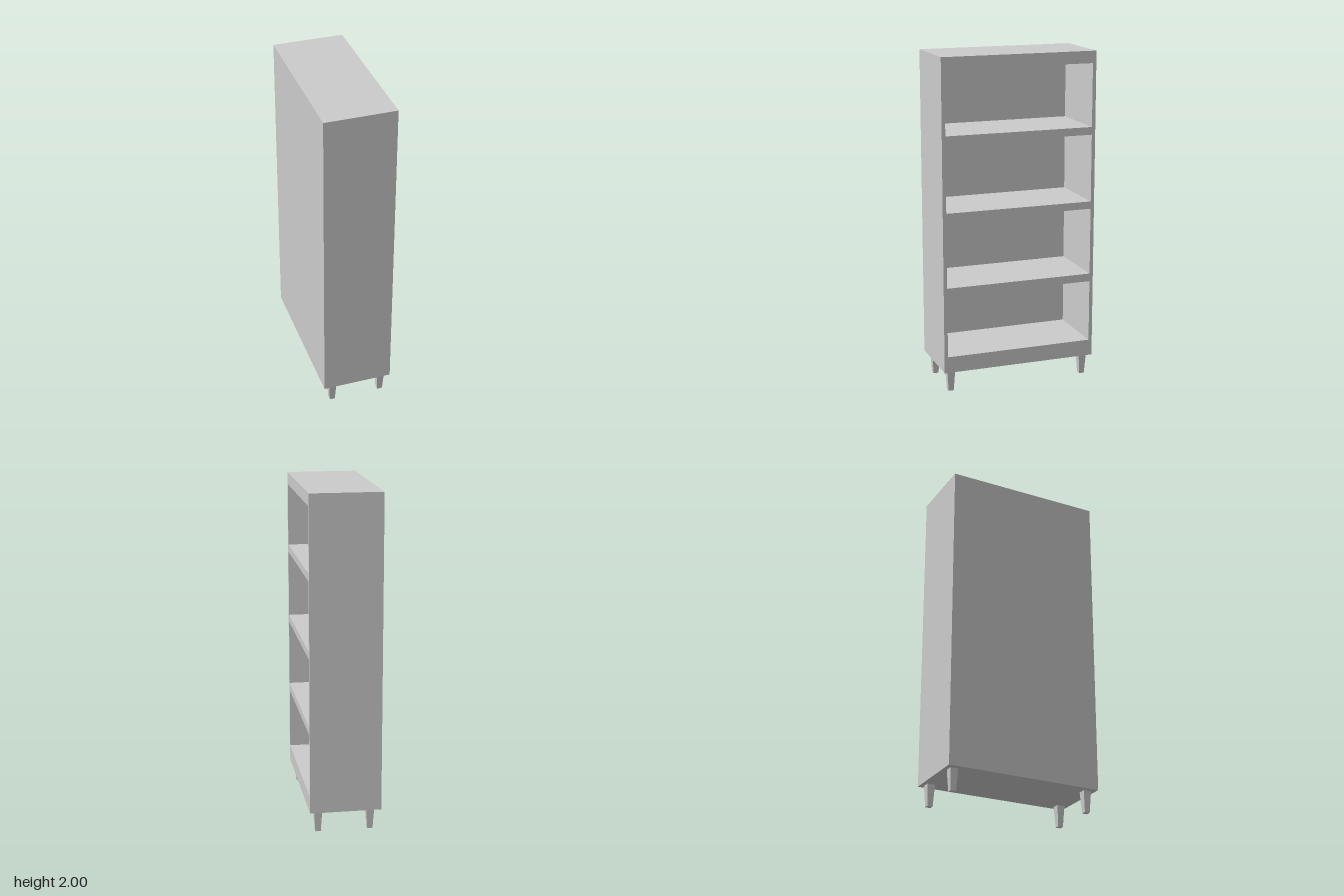
import * as THREE from 'three';

const material = new THREE.MeshStandardMaterial({ color: 0xcccccc, flatShading: true });

// Rectangle traced on a Shape or Path
function rect(path, halfWidth, y0, y1) {
  path.moveTo(-halfWidth, y0);
  path.lineTo(halfWidth, y0);
  path.lineTo(halfWidth, y1);
  path.lineTo(-halfWidth, y1);
  path.closePath();
  return path;
}

export function createModel() {
  const group = new THREE.Group();
  group.name = 'bookcase';
  const add = (name, geometry, x, y, z) => {
    const mesh = new THREE.Mesh(geometry, material);
    mesh.name = name;
    mesh.position.set(x, y, z);
    group.add(mesh);
    return mesh;
  };

  const backX = -0.2115, frontX = 0.2115, panel = 0.01;
  const halfWidth = 0.474, bottom = 0.128, top = 2;

  // Carcass: sides, top, plinth and shelves, open towards +x
  const outline = rect(new THREE.Shape(), halfWidth, bottom, top);
  const bays = [[0.226, 0.602], [0.65, 1.055], [1.1, 1.505], [1.551, 1.928]];
  for (const [y0, y1] of bays) {
    outline.holes.push(rect(new THREE.Path(), 0.4525, y0, y1));
  }
  const carcass = new THREE.ExtrudeGeometry(outline, {
    depth: frontX - backX - panel, bevelEnabled: false,
  });
  carcass.rotateY(Math.PI / 2);
  add('carcass', carcass, backX + panel, 0, 0);

  // Thin back panel
  add('backPanel', new THREE.BoxGeometry(panel, top - bottom, halfWidth * 2),
    backX + panel / 2, (top + bottom) / 2, 0);

  // Square tapered legs
  const leg = new THREE.CylinderGeometry(0.024 * Math.SQRT2, 0.016 * Math.SQRT2, bottom, 4);
  leg.rotateY(Math.PI / 4);
  for (const sx of [-1, 1]) {
    for (const sz of [-1, 1]) {
      add('leg', leg, 0.005 + sx * 0.155, bottom / 2, sz * 0.424);
    }
  }
  return group;
}
